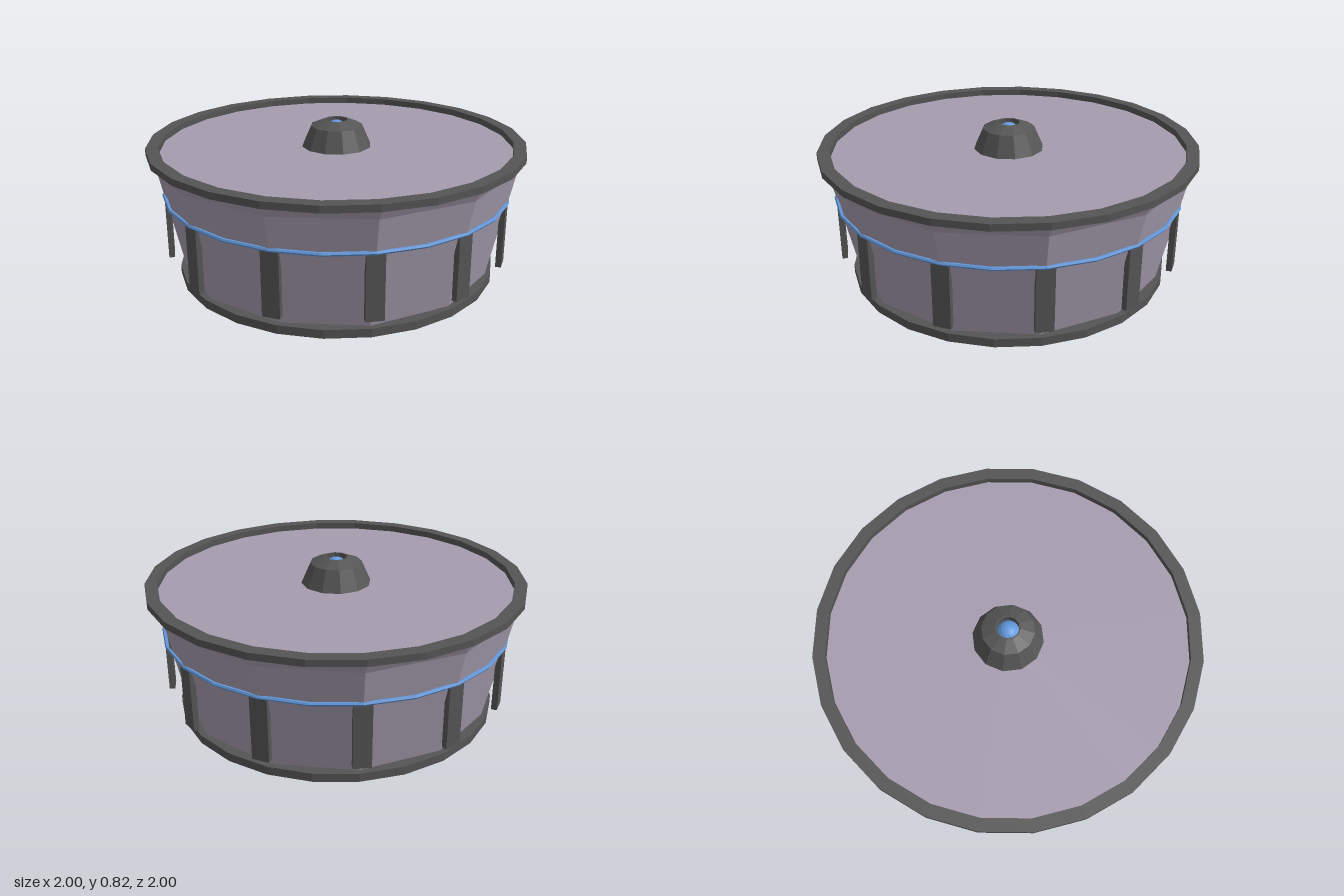
import * as THREE from 'three';

const material = (name, color) => {
  const m = new THREE.MeshStandardMaterial({ color, flatShading: true });
  m.name = name;
  return m;
};

export function createModel() {
  const lilac = material('lilac', 0xa59cae);
  const charcoal = material('charcoal', 0x555555);
  const blue = material('blue', 0x6298dc);
  const model = new THREE.Group();
  model.name = 'drum';

  const add = (name, geometry, mat, y = 0) => {
    const mesh = new THREE.Mesh(geometry, mat);
    mesh.name = name;
    mesh.position.y = y;
    model.add(mesh);
    return mesh;
  };
  const lathe = (points, sides) =>
    new THREE.LatheGeometry(points.map(([r, y]) => new THREE.Vector2(r, y)), sides);

  // Base plate
  add('base', new THREE.CylinderGeometry(0.862, 0.862, 0.045, 24), charcoal, 0.0225);

  // Twelve-sided flaring wall
  add('wall', lathe([[0.83, 0.03], [0.96, 0.63], [0.99, 0.69]], 12), lilac);

  // Recessed lid and raised rim
  const lid = add('lid', new THREE.CircleGeometry(0.95, 24), lilac, 0.68);
  lid.rotation.x = -Math.PI / 2;
  add('rim', lathe([[0.92, 0.655], [1, 0.68], [1, 0.715], [0.935, 0.715], [0.935, 0.67], [0.92, 0.655]], 24), charcoal);

  // Blue band around the wall
  const band = add('band', new THREE.TorusGeometry(0.922, 0.01, 6, 24), blue, 0.457);
  band.rotation.x = Math.PI / 2;

  // Twelve upright posts under the band
  const posts = new THREE.Group();
  posts.name = 'posts';
  const postGeometry = new THREE.BoxGeometry(0.09, 0.335, 0.03);
  for (let i = 0; i < 12; i++) {
    const a = (i * Math.PI) / 6;
    const post = new THREE.Mesh(postGeometry, charcoal);
    post.name = 'post';
    post.position.set(Math.sin(a) * 0.905, 0.2825, Math.cos(a) * 0.905);
    post.rotation.y = a;
    posts.add(post);
  }
  model.add(posts);

  // Central knob with a blue lamp set into its top
  add('knob', lathe([[0.188, 0.675], [0.137, 0.79], [0.065, 0.82], [0.058, 0.82], [0.058, 0.76]], 12), charcoal);
  add('lamp', new THREE.SphereGeometry(0.062, 16, 10), blue, 0.754);

  return model;
}
